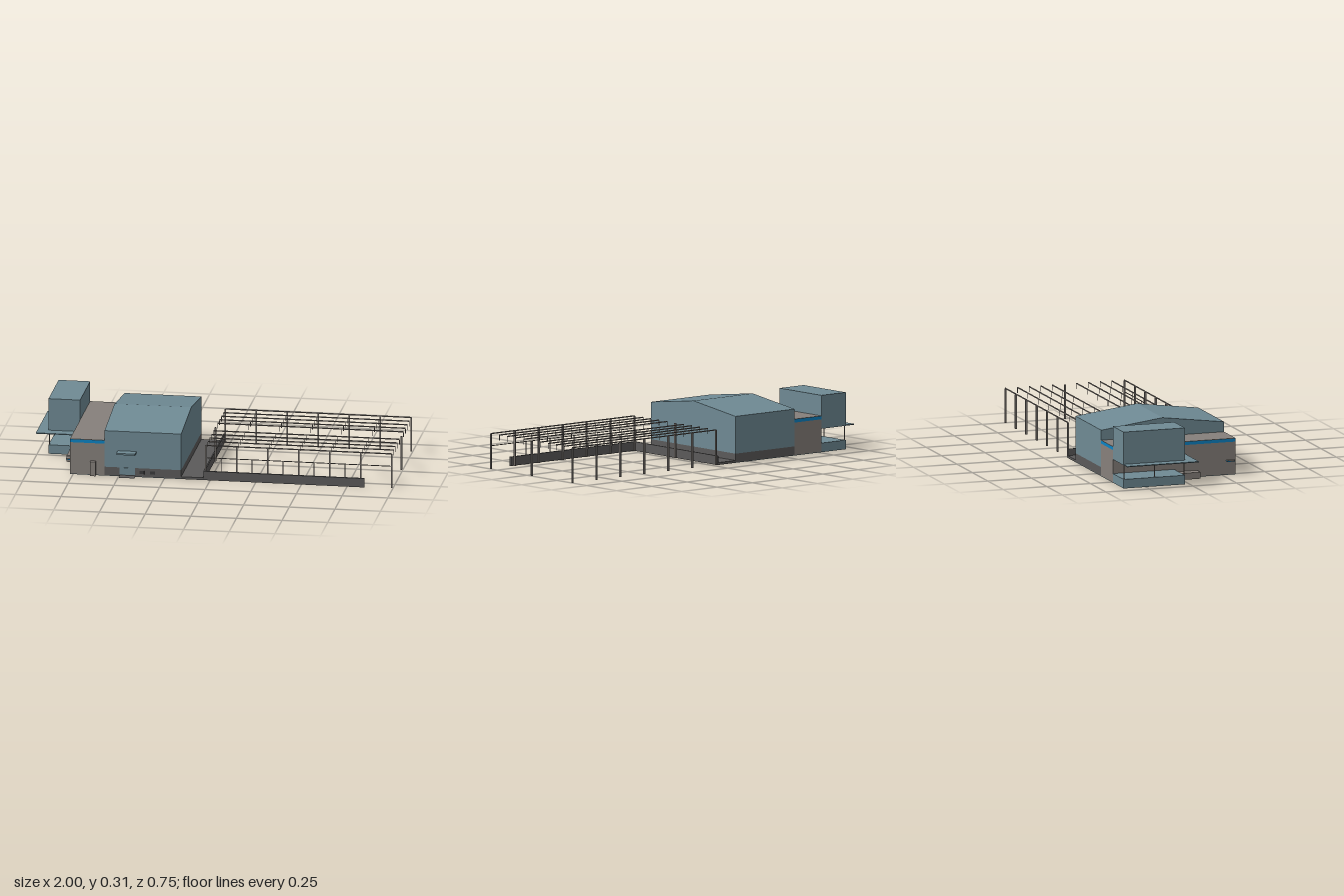
import * as THREE from 'three';

const material = (name, color) => {
  const m = new THREE.MeshStandardMaterial({ color });
  m.name = name;
  return m;
};

export function createModel() {
  const model = new THREE.Group();
  model.name = 'industrialBuilding';
  const cladding = material('blueGreyCladding', 0x6f8a94);
  const taupe = material('taupe', 0x86807b);
  const concrete = material('darkConcrete', 0x5b5a5a);
  const trim = material('brightBlueTrim', 0x0a83c4);
  const glass = material('darkGlass', 0x3a3a3c);

  // Box given by its minimum and maximum on each axis
  const box = (name, mat, x0, x1, y0, y1, z0, z1, parent = model) => {
    const mesh = new THREE.Mesh(new THREE.BoxGeometry(x1 - x0, y1 - y0, z1 - z0), mat);
    mesh.position.set((x0 + x1) / 2, (y0 + y1) / 2, (z0 + z1) / 2);
    mesh.name = name;
    parent.add(mesh);
    return mesh;
  };
  // Side profile in (z, y), extruded along x
  const profile = (name, mat, points, x0, x1) => {
    const shape = new THREE.Shape(points.map(([z, y]) => new THREE.Vector2(-z, y)));
    const geo = new THREE.ExtrudeGeometry(shape, { depth: x1 - x0, bevelEnabled: false });
    geo.rotateY(Math.PI / 2).translate(x0, 0, 0);
    const mesh = new THREE.Mesh(geo, mat);
    mesh.name = name;
    model.add(mesh);
  };

  const back = -0.377, front = 0.328, ridge = -0.025;

  // Ground slab under the enclosed buildings
  box('hallSlab', cladding, -0.767, -0.158, 0, 0.003, back, front);
  box('towerSlab', cladding, -0.94, -0.767, 0, 0.05, back, ridge);

  // Main hall with shallow gabled roof on a concrete plinth
  box('hallPlinth', concrete, -0.578, -0.158, 0.003, 0.05, back, front);
  profile('hall', cladding,
    [[front, 0.05], [front, 0.254], [ridge, 0.3], [back, 0.254], [back, 0.05]], -0.578, -0.158);

  // Hall entrance
  box('hallDoor', cladding, -0.495, -0.41, 0.01, 0.05, front, front + 0.003);
  box('hallCanopy', cladding, -0.505, -0.403, 0.135, 0.144, front, 0.378);
  profile('entranceRamp', concrete, [[0.357, 0], [front, 0.007], [front, 0]], -0.495, -0.41);
  for (const x of [-0.373, -0.315])
    box('plinthWindow', glass, x - 0.013, x + 0.013, 0.018, 0.036, front, front + 0.002);

  // Flat-roofed link block with a blue band round the top
  box('linkBlock', taupe, -0.767, -0.578, 0.003, 0.18, back, front);
  box('roofBand', trim, -0.767, -0.578, 0.18, 0.197, back, front);
  box('linkRoof', taupe, -0.767, -0.578, 0.197, 0.199, back, front);
  box('linkPorch', taupe, -0.655, -0.625, 0, 0.081, front, 0.35);
  box('sideCanopy', taupe, -0.792, -0.767, 0.08, 0.083, 0.273, 0.316);
  box('sideCanopyTrim', trim, -0.792, -0.767, 0.076, 0.08, 0.273, 0.316);
  box('sideStep', taupe, -0.82, -0.767, 0, 0.036, ridge, 0.107);

  // Raised tower over an open storey
  box('tower', cladding, -0.94, -0.767, 0.133, 0.311, back, ridge);
  box('towerCanopy', cladding, -1, -0.767, 0.128, 0.133, back, 0.035);
  for (const z of [back + 0.003, -0.2, ridge - 0.006])
    box('towerPost', taupe, -0.938, -0.934, 0.05, 0.128, z, z + 0.004);

  // Yard floor and low walls
  box('yardFloor', concrete, -0.158, -0.03, 0, 0.013, back, front);
  box('crossWall', concrete, -0.037, -0.03, 0, 0.05, back, front);
  box('frontWall', concrete, -0.03, 0.845, 0, 0.05, 0.317, front);

  // Open steel frame
  const frame = new THREE.Group();
  frame.name = 'steelFrame';
  model.add(frame);
  const startX = -0.026, endX = 0.992, bays = 6, bay = (endX - startX) / bays;
  const beams = [-0.371, -0.301, -0.234, -0.168, -0.101, 0.038, 0.107, 0.174, 0.24, 0.312];
  beams.forEach((z, row) => {
    const edge = row === 0 || row === beams.length - 1;
    box('roofBeam', taupe, startX, endX, 0.189, 0.195, z - 0.002, z + 0.002, frame);
    for (let i = 0; i <= bays; i++) {
      const x = startX + i * bay;
      if (edge) box('column', taupe, x - 0.004, x + 0.004, 0, 0.19, z - 0.0045, z + 0.0045, frame);
      else box('hanger', taupe, x - 0.0015, x + 0.0015, 0.162, 0.189, z - 0.001, z + 0.001, frame);
    }
  });
  // Middle columns at both ends
  for (const x of [startX, endX])
    box('middleColumn', taupe, x - 0.004, x + 0.004, 0, 0.19, -0.034, -0.025, frame);

  // Railing above the front wall
  box('frontRail', taupe, startX, endX, 0.122, 0.126, 0.317, 0.32, frame);
  for (let i = 0; i < 5; i++) {
    const x = startX + (i + 0.5) * bay;
    box('railPost', taupe, x - 0.0015, x + 0.0015, 0.05, 0.122, 0.317, 0.32, frame);
  }
  return model;
}
